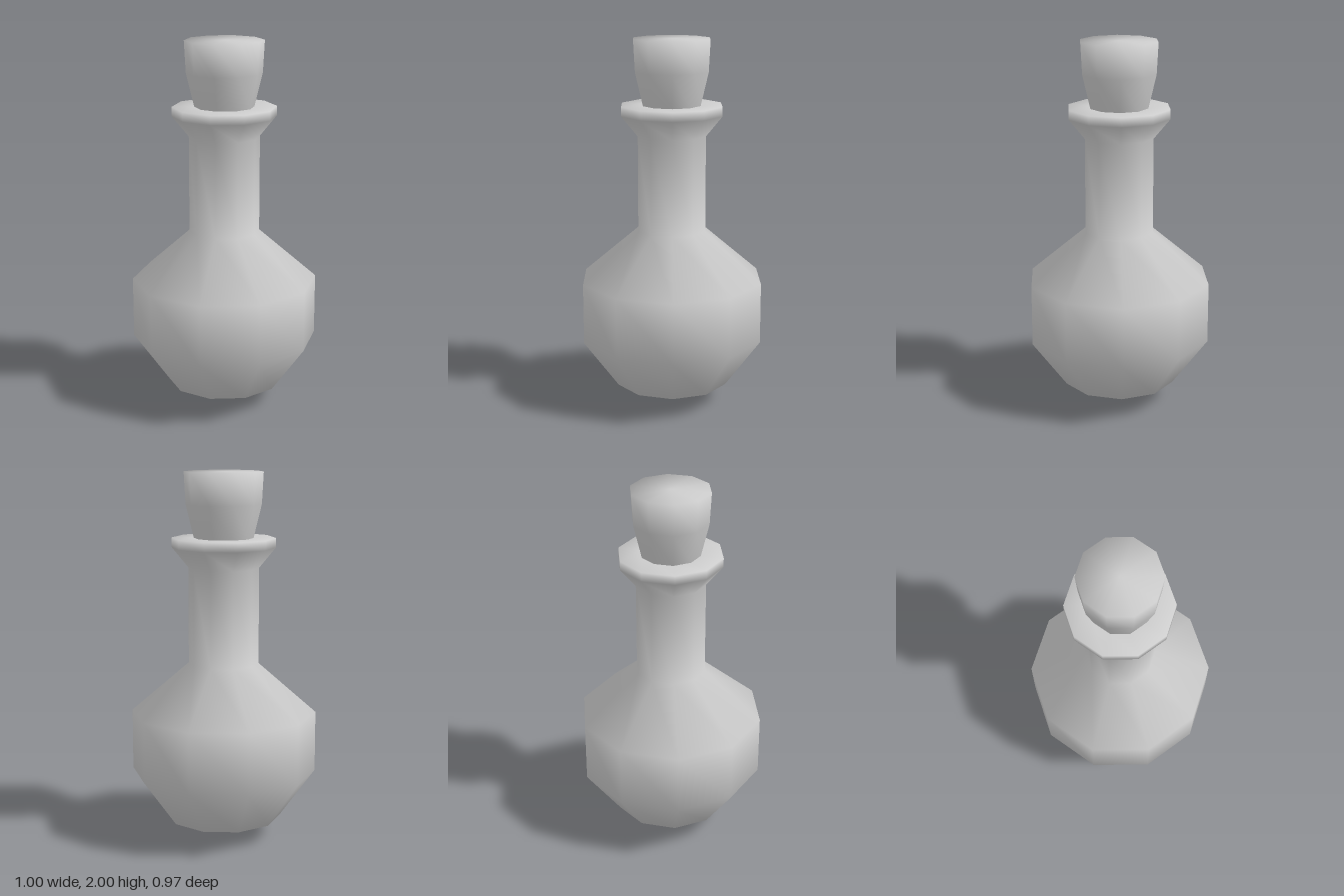
import * as THREE from 'three';
import { mergeVertices } from 'three/addons/utils/BufferGeometryUtils.js';

const SIDES = 10;
const TURN = THREE.MathUtils.degToRad(21.4);

// Ten-sided turned form, welded so that shading is smooth over every edge
function turned(name, profile, material) {
  const points = profile.map(([r, y]) => new THREE.Vector2(r, y));
  let geometry = new THREE.LatheGeometry(points, SIDES, TURN);
  geometry.deleteAttribute('normal');
  geometry.deleteAttribute('uv');
  geometry = mergeVertices(geometry, 1e-4);
  geometry.computeVertexNormals();
  const mesh = new THREE.Mesh(geometry, material);
  mesh.name = name;
  return mesh;
}

export function createModel() {
  const model = new THREE.Group();
  model.name = 'stopperedFlask';
  const material = new THREE.MeshStandardMaterial({ color: 0xcccccc });

  // Pointed round body, straight neck and flared lip
  model.add(turned('flask', [
    [0, 0], [0.31, 0.105], [0.503, 0.37], [0.503, 0.70],
    [0.19, 0.97], [0.19, 1.49], [0.28, 1.60], [0.28, 1.65], [0.16, 1.65],
  ], material));

  // Flaring stopper with a flat top
  model.add(turned('stopper', [
    [0.16, 1.65], [0.203, 1.83], [0.212, 2], [0, 2],
  ], material));

  return model;
}
